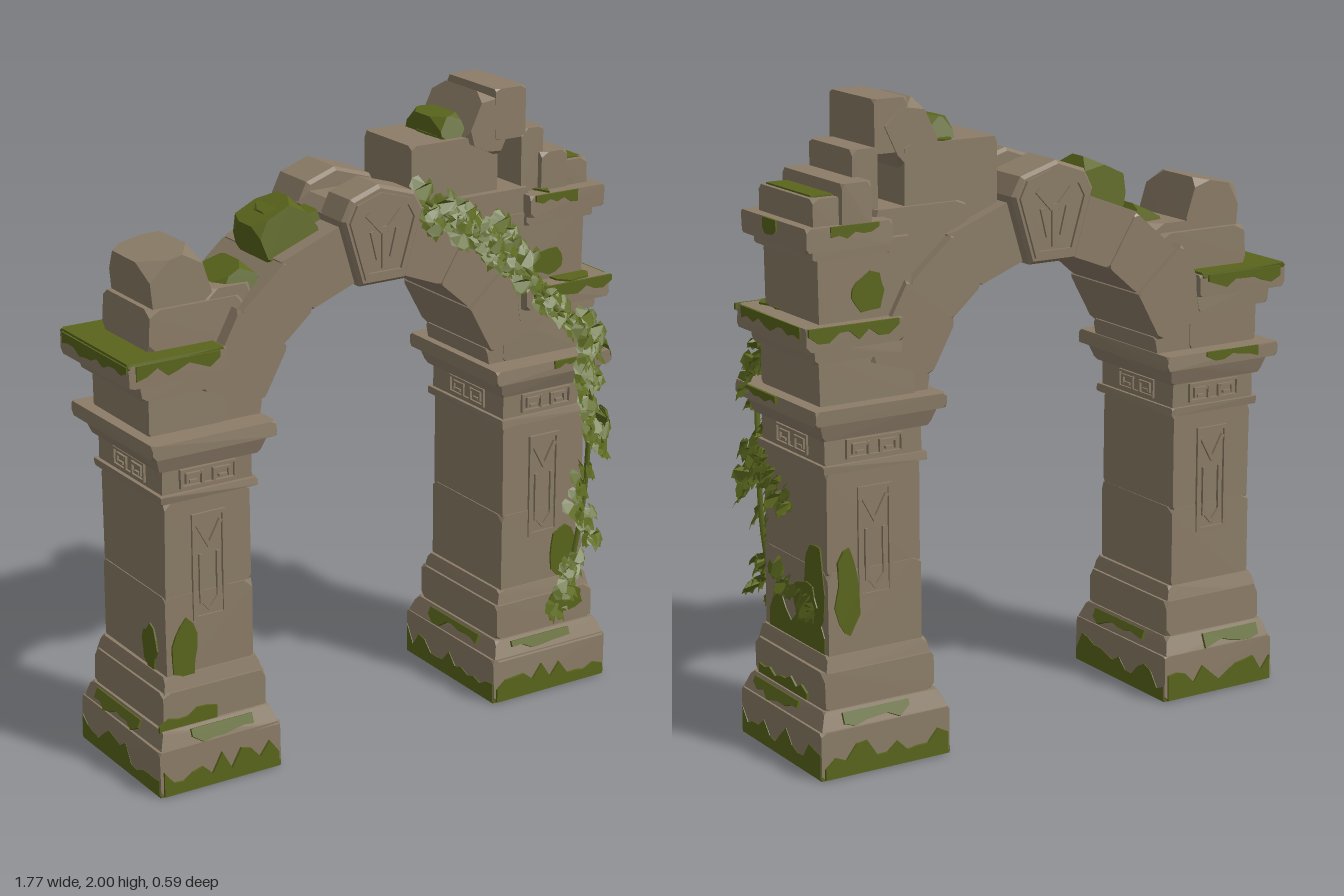
import * as THREE from 'three';
import { mergeGeometries } from 'three/addons/utils/BufferGeometryUtils.js';
import { ConvexGeometry } from 'three/addons/geometries/ConvexGeometry.js';

let seed = 11;
const rnd = (a = 0, b = 1) => {
  seed = (seed * 16807) % 2147483647;
  return a + (b - a) * (seed / 2147483647);
};
const material = (name, color) => Object.assign(new THREE.MeshStandardMaterial({ color }), { name });
const Z = -0.035; // middle of the wall's thickness

export function createModel() {
  seed = 11;
  const root = new THREE.Group();
  root.name = 'ruinedArch';
  const stone = material('stone', 0x8b7c67), moss = material('moss', 0x5a651c);
  const ivy = material('ivyLeaf', 0x5c691f);
  ivy.side = THREE.DoubleSide;

  const add = (name, geo, mat, parent = root, pos = [0, 0, 0], rot = [0, 0, 0]) => {
    const m = new THREE.Mesh(geo, mat);
    m.name = name;
    m.position.set(...pos);
    m.rotation.set(...rot);
    parent.add(m);
    return m;
  };

  // Chipped stone: eight corners, each cut off by a random amount along its edges
  const hull = (corners, chip) => {
    const pts = [];
    corners.forEach((p, i) => {
      for (let b = 0; b < 3; b++) {
        const q = corners[i ^ (1 << b)], len = p.distanceTo(q);
        pts.push(p.clone().lerp(q, Math.min(0.42, chip * rnd(0.4, 1.5) / len)));
      }
    });
    return new ConvexGeometry(pts);
  };
  // Block from ranges; tx and tz scale its top
  const block = (name, [x0, x1], [y0, y1], [z0, z1], { chip = 0.018, tx = 1, tz = 1, mat = stone, rot, jit = 0.007 } = {}) => {
    const c = [];
    for (let i = 0; i < 8; i++) {
      const up = i & 2, s = () => 1 - rnd(0, jit) * 4;
      c.push(new THREE.Vector3((i & 1 ? 1 : -1) * (x1 - x0) / 2 * s() * (up ? tx : 1), (up ? 1 : -1) * (y1 - y0) / 2,
        (i & 4 ? 1 : -1) * (z1 - z0) / 2 * s() * (up ? tz : 1)));
    }
    return add(name, hull(c, chip), mat, root, [(x0 + x1) / 2, (y0 + y1) / 2, (z0 + z1) / 2], rot);
  };

  // Thin plates of moss: 'blob' is round, 'band' has a ragged top, 'drip' a ragged bottom
  const plate = (kind, w, h) => {
    const pts = [], n = kind === 'blob' ? 13 : Math.max(6, Math.round(w / 0.035));
    if (kind === 'blob') {
      for (let i = 0; i < n; i++) {
        const a = i / n * Math.PI * 2, r = rnd(0.36, 0.54);
        pts.push(new THREE.Vector2(Math.cos(a) * w * r, Math.sin(a) * h * r));
      }
    } else {
      const s = kind === 'band' ? 1 : -1;
      pts.push(new THREE.Vector2(-w / 2, 0), new THREE.Vector2(w / 2, 0));
      for (let i = n; i >= 0; i--) pts.push(new THREE.Vector2(w * (i / n - 0.5), s * h * rnd(0.3, 1)));
    }
    return new THREE.ExtrudeGeometry(new THREE.Shape(pts), { depth: 0.009, bevelEnabled: false }).translate(0, 0, -0.005);
  };
  const turns = { front: [0, 0, 0], back: [0, Math.PI, 0], left: [0, Math.PI / 2, 0], right: [0, -Math.PI / 2, 0], top: [-Math.PI / 2, 0, 0] };
  const patch = (kind, w, h, pos, side) => add('mossPatch', plate(kind, w, h), moss, root, pos, turns[side]);
  // Runs fn once for each of the four faces of a w by d column
  const faces = (cx, w, d, fn) => {
    for (let i = 0; i < 4; i++) {
      const g = new THREE.Group();
      g.name = 'face';
      g.position.set(cx, 0, Z);
      g.rotation.y = i * Math.PI / 2;
      root.add(g);
      fn(g, i % 2 ? d : w, (i % 2 ? w : d) / 2, i);
    }
  };
  const bars = (name, list, parent, z, depth = 0.016) => add(name, mergeGeometries(list.map(([x, y, w, h, r = 0]) =>
    new THREE.BoxGeometry(w, h, depth).rotateZ(r).translate(x, y, z))), stone, parent);

  // Pillars
  const pillar = (cx, w, label) => {
    const part = (name, y0, y1, dw, d, o) => block(label + name, [cx - (w + dw) / 2, cx + (w + dw) / 2], [y0, y1], [Z - d / 2, Z + d / 2], o);
    part('Plinth', 0.006, 0.15, 0.125, 0.51, { chip: 0.012 });
    part('PlinthTop', 0.14, 0.205, 0.12, 0.505, { chip: 0.012, tx: 0.9, tz: 0.91 });
    part('Foot', 0.2, 0.32, 0.06, 0.44, { chip: 0.02 });
    part('FootTop', 0.3, 0.365, 0.05, 0.43, { tx: 0.92, tz: 0.94, chip: 0.014 });
    part('LowerShaft', 0.35, 0.62, 0, 0.395, { chip: 0.02 });
    part('UpperShaft', 0.6, 0.93, -0.005, 0.39, { chip: 0.022 });
    part('Necking', 0.925, 0.95, 0.03, 0.42, { chip: 0.006 });
    part('Frieze', 0.94, 1.04, 0.005, 0.395, { chip: 0.01 });
    part('CapitalFlare', 1.03, 1.095, 0.04, 0.43, { tx: 1.12, tz: 1.1, chip: 0.01 });
    part('Capital', 1.085, 1.13, 0.125, 0.5, { chip: 0.012 });

    // Mossy underside with a square opening
    const W = (w + 0.12) / 2, sole = new THREE.Shape([[-W, -0.25], [W, -0.25], [W, 0.25], [-W, 0.25]].map(p => new THREE.Vector2(...p)));
    sole.holes.push(new THREE.Path([[-0.09, -0.09], [-0.09, 0.09], [0.09, 0.09], [0.09, -0.09]].map(p => new THREE.Vector2(...p))));
    add('mossSole', new THREE.ExtrudeGeometry(sole, { depth: 0.008, bevelEnabled: false }).rotateX(-Math.PI / 2), moss, root, [cx, 0, Z]);

    faces(cx, w, 0.395, (g, len, dist, i) => {
      add('plinthMoss', plate('band', len + 0.1, 0.1), moss, g, [0, 0.004, dist + 0.0585]);
      add('plinthTopMoss', plate('drip', len * 0.7, 0.05), moss, g, [rnd(-0.06, 0.06), 0.2, dist + 0.044], [-0.4, 0, 0]);
      // Key pattern on the frieze
      const f = [[0, 0.965, 0.19, 0.007], [0, 1.018, 0.19, 0.007], [-0.092, 0.99, 0.007, 0.055], [0.092, 0.99, 0.007, 0.055]];
      for (const s of [-1, 1]) f.push([s * 0.05, 1.003, 0.05, 0.008], [s * 0.072, 0.99, 0.008, 0.03], [s * 0.05, 0.98, 0.028, 0.008], [s * 0.02, 0.988, 0.008, 0.04]);
      bars('friezePattern', f, g, dist);
      if (i % 2) return;
      // Carved panel on the front and back of the shaft
      bars('shaftPanel', [[0, 0.865, 0.115, 0.013], [0, 0.535, 0.115, 0.013], [-0.052, 0.7, 0.012, 0.34], [0.052, 0.7, 0.012, 0.34],
        [-0.02, 0.8, 0.012, 0.09, 0.5], [0.02, 0.8, 0.012, 0.09, -0.5], [-0.03, 0.66, 0.01, 0.16], [0.03, 0.66, 0.01, 0.16],
        [-0.015, 0.575, 0.012, 0.05, 0.7], [0.015, 0.575, 0.012, 0.05, -0.7]], g, dist - 0.004);
    });
  };
  pillar(-0.645, 0.305, 'right');
  pillar(0.595, 0.325, 'left');

  // Arch stones, mirrored about the keystone
  const AX = -0.02, AY = 1.05, deg = Math.PI / 180;
  const joints = [[4, 17.5, 0.43, 0.67, 0.17], [17.5, 40, 0.435, 0.65, 0.19], [40, 58, 0.44, 0.63, 0.175], [58, 80, 0.44, 0.635, 0.17]];
  for (const s of [-1, 1]) for (const [a0, a1, r0, r1, hz] of joints) {
    const c = [];
    for (let i = 0; i < 8; i++) {
      const a = (i & 2 ? a1 + 0.3 : a0 - 0.3) * deg, r = i & 1 ? r1 : r0;
      c.push(new THREE.Vector3(AX + s * Math.cos(a) * r, AY + Math.sin(a) * r, Z - 0.01 + (i & 4 ? hz : -hz)));
    }
    add('archStone', hull(c, 0.013), stone);
  }

  // Keystone: front and back slabs over a lower core, each with a carved face
  const key = (k, cut = 1.785) => [[-0.08, 1.475], [0.08, 1.475], [0.145, 1.69], [0.115, 1.745], [-0.015, 1.785], [-0.115, 1.75], [-0.145, 1.69]]
    .map(([x, y]) => new THREE.Vector2(x * k, 1.62 + (Math.min(y, cut) - 1.62) * k));
  const keySlab = (name, z0, z1, cut) => add(name, new THREE.ExtrudeGeometry(new THREE.Shape(key(0.93, cut)),
    { depth: z1 - z0 - 0.024, bevelThickness: 0.012, bevelSize: 0.01, bevelSegments: 1 }), stone, root, [AX, 0, z0 + 0.012]);
  keySlab('keystoneFront', 0.02, 0.16);
  keySlab('keystoneBack', -0.26, -0.085);
  keySlab('keystoneCore', -0.12, 0.05, 1.72);
  for (const [z, ry] of [[0.155, 0], [-0.255, Math.PI]]) {
    const g = new THREE.Group(), rim = new THREE.Shape(key(0.86));
    g.name = 'keystoneCarving';
    g.position.set(AX, 0, z);
    g.rotation.y = ry;
    root.add(g);
    rim.holes.push(new THREE.Path(key(0.72)));
    add('keystoneRim', new THREE.ExtrudeGeometry(rim, { depth: 0.014, bevelEnabled: false }), stone, g);
    bars('keystoneGlyph', [[0, 1.59, 0.022, 0.13], [-0.035, 1.67, 0.018, 0.08, 0.75], [0.035, 1.67, 0.018, 0.08, -0.75],
      [-0.035, 1.6, 0.014, 0.09, 0.25], [0.035, 1.6, 0.014, 0.09, -0.25]], g, 0.005);
  }

  // Ruined wall above the right pillar
  block('rightSpringer', [-0.82, -0.56], [1.12, 1.28], [-0.22, 0.13]);
  block('rightCornice', [-0.85, -0.58], [1.25, 1.32], [-0.24, 0.15], { tx: 1.08, chip: 0.01 });
  block('rightLedge', [-0.905, -0.57], [1.3, 1.37], [-0.26, 0.17], { chip: 0.012 });
  block('rightRubble', [-0.8, -0.46], [1.36, 1.5], [-0.19, 0.1], { tx: 0.95, chip: 0.03 });
  block('rightSpandrel', [-0.62, -0.42], [1.3, 1.53], [-0.17, 0.09], { tx: 0.85, chip: 0.04 });
  block('looseBoulder', [-0.79, -0.575], [1.455, 1.645], [-0.17, 0.085], { chip: 0.055, tx: 0.8, rot: [0, 0, 0.2] });

  // Ruined wall above the left pillar
  block('leftSpringer', [0.45, 0.775], [1.12, 1.28], [-0.23, 0.13]);
  block('leftCornice', [0.5, 0.79], [1.26, 1.32], [-0.24, 0.15], { tx: 1.05, chip: 0.01 });
  block('leftLedge', [0.5, 0.825], [1.3, 1.37], [-0.255, 0.18], { chip: 0.012 });
  block('leftWall', [0.45, 0.765], [1.36, 1.6], [-0.215, 0.115]);
  block('leftUpperLedgeFlare', [0.53, 0.79], [1.56, 1.61], [-0.23, 0.13], { chip: 0.01 });
  block('leftUpperLedge', [0.53, 0.82], [1.59, 1.66], [-0.25, 0.15], { chip: 0.012 });
  block('brokenStep', [0.535, 0.62], [1.64, 1.86], [-0.17, 0.09], { chip: 0.02 });
  block('brokenStep', [0.6, 0.7], [1.64, 1.78], [-0.25, 0.11], { chip: 0.018 });
  block('brokenStep', [0.68, 0.785], [1.64, 1.74], [-0.23, 0.1], { chip: 0.018 });
  block('leftSpandrel', [0.24, 0.56], [1.46, 1.68], [-0.19, 0.11], { chip: 0.03 });
  block('crestBase', [0.125, 0.45], [1.62, 1.86], [-0.175, 0.085], { chip: 0.015 });
  block('crestStone', [0.35, 0.49], [1.81, 1.97], [-0.175, 0.095], { chip: 0.035, rot: [0, 0, -0.45] });
  block('crestTip', [0.43, 0.545], [1.84, 2], [-0.17, 0.095], { chip: 0.014 });

  // Moss cushions
  const cushions = [[-0.4, -0.2, 1.58, 1.72, -0.13, 0.08, 0.45], [-0.55, -0.4, 1.47, 1.56, -0.13, 0.09, 0.5], [0.25, 0.345, 1.84, 1.925, -0.15, 0.07, 0.15],
    [-0.35, -0.24, 1.64, 1.725, -0.1, 0.05, 0.3], [-0.22, -0.12, 1.62, 1.69, -0.08, 0.03, 0.2]];
  for (const [a, b, c, d, e, f, r] of cushions) block('mossCushion', [a, b], [c, d], [e, f], { mat: moss, chip: 0.04, tx: 0.8, tz: 0.75, rot: [0, 0, r] });
  block('ledgeMoss', [-0.905, -0.58], [1.36, 1.377], [-0.26, 0.17], { mat: moss, chip: 0.008 });
  block('stepMoss', [0.7, 0.77], [1.655, 1.745], [-0.2, 0.08], { mat: moss, chip: 0.01 });
  const patches = [
    ['drip', 0.28, 0.05, [-0.74, 1.37, 0.17], 'front'], ['drip', 0.28, 0.05, [-0.74, 1.37, -0.26], 'back'], ['drip', 0.4, 0.05, [-0.905, 1.37, Z], 'right'],
    ['drip', 0.3, 0.05, [0.68, 1.37, 0.18], 'front'], ['drip', 0.3, 0.05, [0.67, 1.37, -0.255], 'back'], ['drip', 0.36, 0.05, [0.824, 1.37, Z], 'left'],
    ['drip', 0.16, 0.04, [0.63, 1.66, 0.15], 'front'], ['drip', 0.08, 0.05, [0.82, 1.66, Z], 'left'], ['drip', 0.16, 0.04, [0.66, 1.66, -0.25], 'back'],
    ['drip', 0.2, 0.035, [-0.68, 1.13, -0.284], 'back'], ['drip', 0.12, 0.03, [0.65, 1.13, 0.214], 'front'], ['drip', 0.2, 0.03, [0.82, 1.13, 0.05], 'left'],
    ['blob', 0.1, 0.2, [-0.735, 0.44, 0.162], 'front'], ['blob', 0.1, 0.16, [-0.798, 0.43, 0.06], 'right'], ['band', 0.2, 0.06, [-0.74, 0.2, 0.184], 'front'],
    ['blob', 0.14, 0.34, [0.756, 0.55, -0.15], 'left'], ['band', 0.34, 0.16, [0.756, 0.36, -0.04], 'left'], ['blob', 0.16, 0.14, [0.76, 0.5, -0.1], 'left'],
    ['blob', 0.13, 0.2, [0.68, 0.46, 0.162], 'front'], ['blob', 0.14, 0.1, [0.68, 0.29, 0.185], 'front'], ['blob', 0.09, 0.3, [0.69, 0.55, -0.232], 'back'],
    ['band', 0.3, 0.05, [0.787, 0.21, 0], 'left'], ['blob', 0.1, 0.4, [0.6, 1.662, -0.05], 'top'], ['blob', 0.16, 0.2, [0.7, 1.372, 0.08], 'top'],
    ['blob', 0.12, 0.24, [0.3, 1.862, -0.05], 'top'], ['blob', 0.14, 0.1, [0.62, 1.43, 0.115], 'front'], ['blob', 0.13, 0.12, [0.6, 1.45, -0.215], 'back'],
  ];
  for (const p of patches) patch(...p);

  // Ivy: lobed, folded leaves scattered along a hanging vine
  const outline = [[0, 0.15], [0.22, 0.42], [0.42, 0.3], [0.5, 0], [0.34, -0.14], [0.3, -0.34], [0.14, -0.38], [0, -0.62]];
  const lobes = [...outline, ...outline.slice(1, -1).reverse().map(([x, y]) => [-x, y])].map(p => new THREE.Vector2(...p));
  const leaf = new THREE.ShapeGeometry(new THREE.Shape(lobes.reverse())).toNonIndexed();
  const lp = leaf.attributes.position;
  for (let i = 0; i < lp.count; i++) lp.setZ(i, -Math.abs(lp.getX(i)) * 0.45 - lp.getY(i) ** 2 * 0.35);
  leaf.computeVertexNormals();
  // Clusters: start, end, spread, count, turn about y
  const clusters = [
    [[0.17, 1.7, 0.14], [0.48, 1.48, 0.18], 0.055, 46, 0], [[0.4, 1.6, 0.15], [0.56, 1.34, 0.19], 0.05, 26, 0.1],
    [[0.56, 1.36, 0.19], [0.66, 1.24, 0.23], 0.035, 10, 0.2], [[0.7, 1.24, 0.25], [0.75, 1.04, 0.23], 0.06, 26, 0.4],
    [[0.78, 1.2, 0.18], [0.84, 1.12, 0.15], 0.03, 7, 1.1], [[0.71, 1.0, 0.2], [0.8, 0.8, 0.2], 0.045, 22, 0.5],
    [[0.81, 0.9, 0.2], [0.8, 0.8, -0.06], 0.04, 20, 1.4], [[0.78, 0.74, 0.18], [0.72, 0.64, 0.19], 0.03, 5, 0.6],
    [[0.72, 0.62, 0.18], [0.78, 0.48, 0.19], 0.035, 11, 0.4], [[0.78, 0.56, 0.08], [0.78, 0.48, -0.14], 0.03, 8, 1.5],
    [[0.73, 0.44, 0.18], [0.64, 0.25, 0.2], 0.04, 13, 0.2],
  ];
  const leaves = [], dummy = new THREE.Object3D();
  dummy.rotation.order = 'YXZ';
  for (const [a, b, s, n, ry] of clusters) for (let i = 0; i < n; i++) {
    const p = new THREE.Vector3(...a).lerp(new THREE.Vector3(...b), (i + 0.5) / n);
    const off = rnd(-s, s);
    dummy.position.set(p.x + off * Math.cos(ry), p.y + rnd(-s, s) * 0.8, p.z - off * Math.sin(ry) + rnd(-0.012, 0.015));
    dummy.rotation.set(rnd(-0.75, -0.1), ry + rnd(-0.5, 0.5), rnd(-0.6, 0.6));
    dummy.scale.setScalar(rnd(0.06, 0.095));
    dummy.updateMatrix();
    leaves.push(leaf.clone().applyMatrix4(dummy.matrix));
  }
  add('ivyLeaves', mergeGeometries(leaves), ivy);
  const vine = new THREE.CatmullRomCurve3([[0.15, 1.7, 0.13], [0.45, 1.5, 0.16], [0.6, 1.3, 0.19], [0.72, 1.15, 0.22], [0.76, 0.9, 0.18],
    [0.75, 0.6, 0.17], [0.66, 0.22, 0.18]].map(p => new THREE.Vector3(...p)));
  add('ivyVine', new THREE.TubeGeometry(vine, 40, 0.009, 5), ivy);
  return root;
}
